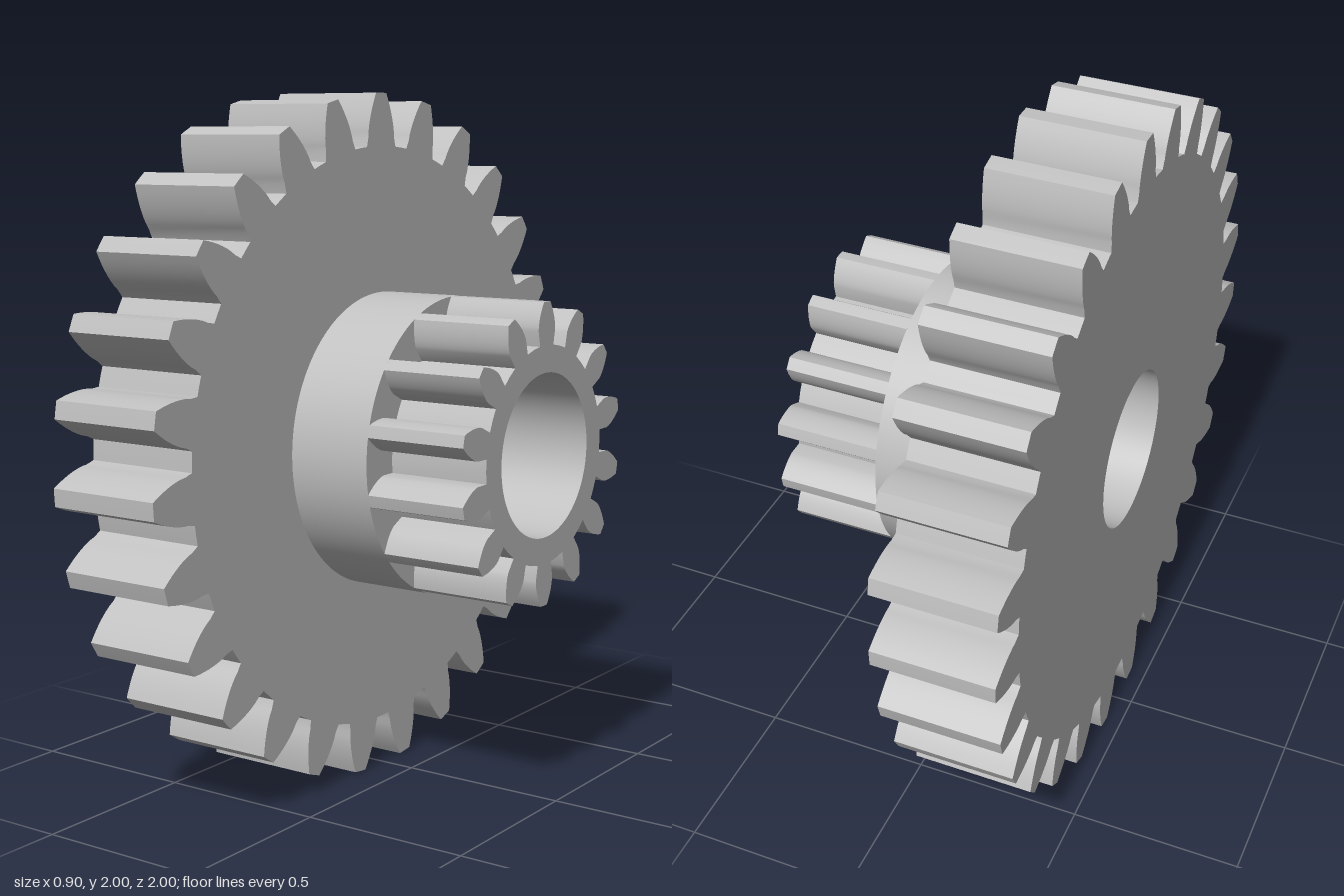
import * as THREE from 'three';
import { toCreasedNormals } from 'three/addons/utils/BufferGeometryUtils.js';

const BORE = 0.233;
const PRESSURE = THREE.MathUtils.degToRad(20);
const inv = (a) => Math.tan(a) - a;

// Gear outline with involute teeth; one tooth points straight up
function gearShape(teeth, outer, root, rootHalfAngle) {
  const pitch = (outer * teeth) / (teeth + 2);
  const base = pitch * Math.cos(PRESSURE);
  const halfAngle = (r) => Math.PI / (2 * teeth) + inv(PRESSURE) - inv(Math.acos(base / r));

  // one flank from root to tip as [radius, half angle]
  const flank = [[root, rootHalfAngle]];
  const steps = 7;
  for (let i = 0; i <= steps; i++) {
    const r = base + ((outer - base) * i) / steps;
    flank.push([r, halfAngle(r)]);
  }

  const points = [];
  const add = (r, a) => points.push(new THREE.Vector2(r * Math.cos(a), r * Math.sin(a)));
  for (let t = 0; t < teeth; t++) {
    const mid = Math.PI / 2 + (t * 2 * Math.PI) / teeth;
    flank.forEach(([r, h]) => add(r, mid - h));
    add(outer, mid);
    [...flank].reverse().forEach(([r, h]) => add(r, mid + h));
    add(root, mid + Math.PI / teeth); // middle of the valley
  }
  return new THREE.Shape(points);
}

function discShape(radius) {
  return new THREE.Shape().absarc(0, 0, radius, 0, Math.PI * 2, false);
}

// Bores the outline and extrudes it along x from x0 to x1
function boredPart(name, shape, x0, x1, material) {
  shape.holes.push(new THREE.Path().absarc(0, 0, BORE, 0, Math.PI * 2, true));
  const solid = new THREE.ExtrudeGeometry(shape, {
    depth: x1 - x0, bevelEnabled: false, curveSegments: 64,
  });
  solid.rotateY(Math.PI / 2);
  const mesh = new THREE.Mesh(toCreasedNormals(solid, 0.4), material);
  mesh.name = name;
  mesh.position.x = x0;
  return mesh;
}

export function createModel() {
  const grey = new THREE.MeshStandardMaterial({ color: 0xc0c0c0 });
  grey.name = 'light grey';

  const group = new THREE.Group();
  group.name = 'doubleGear';
  group.add(
    boredPart('largeGear', gearShape(27, 1.0005, 0.85, 0.083), -0.4525, -0.105, grey),
    boredPart('hub', discShape(0.43), -0.105, 0.148, grey),
    boredPart('smallGear', gearShape(14, 0.43, 0.31, 0.116), 0.148, 0.4525, grey),
  );
  group.position.y = 0.9965; // lowest teeth rest on the ground
  return group;
}
